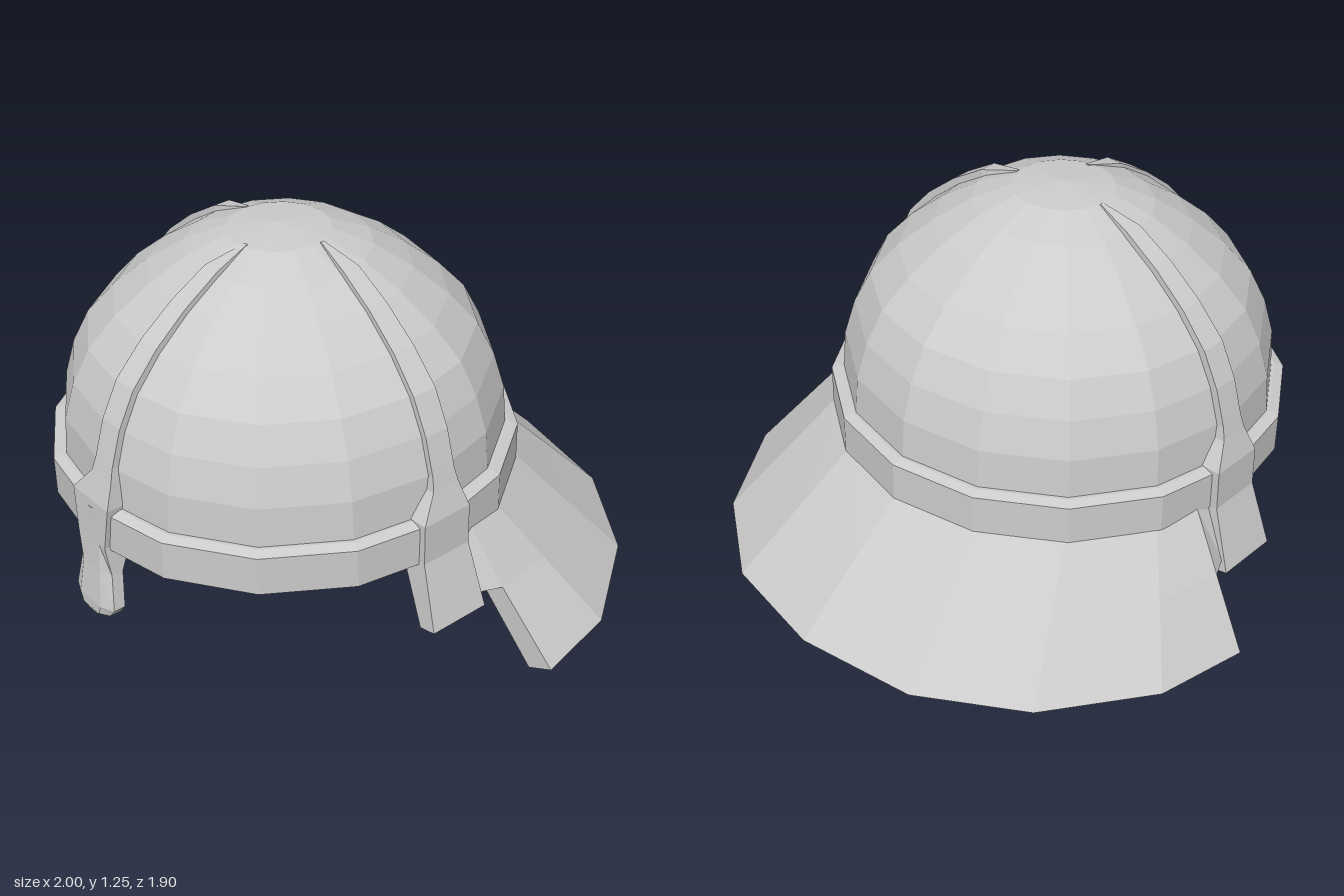
import * as THREE from 'three';

const CX = -0.03, CZ = 0.17, BASE = 0.55; // dome axis and springing height
const SIDES = 16;

// Dome profile, rim to crown: [radius, height]
const DOME = [[0.71, 0.55], [0.7, 0.69], [0.665, 0.81], [0.61, 0.92], [0.52, 1.02],
  [0.41, 1.11], [0.29, 1.185], [0.165, 1.235], [0, 1.25]];

const material = new THREE.MeshStandardMaterial({ color: 0xcccccc, flatShading: true });

function part(name, geometry) {
  const mesh = new THREE.Mesh(geometry, material);
  mesh.name = name;
  return mesh;
}

// Closed plate between an outer and an inner grid of points.
// Rows run downwards, columns run left to right as seen from outside.
function plate(outer, inner) {
  const pos = [];
  const quad = (a, b, c, d) => [a, b, c, a, c, d].forEach(p => pos.push(p.x, p.y, p.z));
  const R = outer.length - 1, C = outer[0].length - 1;
  for (let j = 0; j < R; j++) {
    for (let i = 0; i < C; i++) {
      quad(outer[j][i], outer[j + 1][i], outer[j + 1][i + 1], outer[j][i + 1]);
      quad(inner[j][i], inner[j][i + 1], inner[j + 1][i + 1], inner[j + 1][i]);
    }
    quad(outer[j][0], inner[j][0], inner[j + 1][0], outer[j + 1][0]);
    quad(outer[j][C], outer[j + 1][C], inner[j + 1][C], inner[j][C]);
  }
  for (let i = 0; i < C; i++) {
    quad(outer[0][i], outer[0][i + 1], inner[0][i + 1], inner[0][i]);
    quad(outer[R][i], inner[R][i], inner[R][i + 1], outer[R][i + 1]);
  }
  const g = new THREE.BufferGeometry();
  g.setAttribute('position', new THREE.Float32BufferAttribute(pos, 3));
  g.computeVertexNormals();
  return g;
}

// Ring or shell turned around the dome axis
const turned = pts => new THREE.LatheGeometry(pts.map(p => new THREE.Vector2(p[0], p[1])), SIDES);

// Strap facing +z: a rib through the dome, the band crossing, and a hanging tab.
// tab rows: [radius, height, half width]; shift slides the rib sideways,
// bevel sets back the long edges of the tab, drop lowers its inner end.
function strap(tab, shift, bevel, drop) {
  const rib = DOME.slice(1, 8).reverse().map(([r, y], k) => {
    const lift = k === 0 ? 1.003 : 1.023;
    return [r * lift, BASE + (y - BASE) * lift, [0.006, 0.03, 0.035, 0.039][k] ?? 0.043, shift, 0, r * 0.12];
  });
  const rows = [...rib, [0.728, 0.65, 0.05, shift, 0, 0.07], [0.755, 0.565, 0.09, 0, 0, 0.095],
    ...tab.map(([r, y, w], k) => [r, y, w, 0, k ? bevel : 0, k ? 0.06 : 0.098])];
  const columns = [-1, -0.55, 0.55, 1];
  const outer = [], inner = [];
  rows.forEach(([r, y, w, s, b, thick], j) => {
    outer.push(columns.map(c => new THREE.Vector3(c * w + s, y, Math.abs(c) === 1 ? r - b : r)));
    const yi = y > BASE ? BASE + (y - BASE) * 0.91 : y - (j === rows.length - 1 ? drop : 0);
    inner.push(columns.map(c => new THREE.Vector3(c * w + s, yi, r - thick)));
  });
  return plate(outer, inner);
}

// Flared neck guard: an upper strip tucked behind the cheek tabs and a shorter lower strip
function neckGuard() {
  const row = half => [...half, ...half.slice(0, 4).reverse().map(([x, y, z]) => [-x, y, z])]
    .map(p => new THREE.Vector3(...p));
  const bottom = row([[1, 0.04, -0.03], [0.935, 0.035, -0.33], [0.71, 0.04, -0.66],
    [0.395, 0.052, -0.875], [0, 0.067, -0.95]]);
  const top = bottom.map((_, i) => {
    const a = i * Math.PI / 8;
    return new THREE.Vector3(CX + 0.735 * Math.cos(a), 0.44, CZ - 0.735 * Math.sin(a));
  });
  const mid = top.map((p, i) => p.clone().lerp(bottom[i], 0.45));
  for (const [i, side] of [[0, 1], [8, -1]]) {
    top[i].set(CX + side * 0.72, 0.44, 0.03);
    mid[i].set(CX + side * 0.835, 0.26, 0);
  }
  const withEnds = (r, radius, y, z) => [new THREE.Vector3(CX + radius, y, z), ...r,
    new THREE.Vector3(CX - radius, y, z)];
  const inset = r => r.map(p =>
    new THREE.Vector3(CX + (p.x - CX) * 0.92, p.y - 0.038, CZ + (p.z - CZ) * 0.955));
  const strip = (name, a, b) => part(name, plate([a, b], [inset(a), inset(b)]));
  const group = new THREE.Group();
  group.name = 'neckGuard';
  group.add(strip('neckGuardUpper', withEnds(top, 0.715, 0.44, 0.1), withEnds(mid, 0.8, 0.255, 0.07)));
  group.add(strip('neckGuardLower', mid, bottom));
  return group;
}

export function createModel() {
  const model = new THREE.Group();
  model.name = 'helmet';

  // Dome shell and brow band, leaning slightly forward
  const shell = new THREE.Group();
  shell.name = 'shell';
  shell.position.set(CX, 0, CZ);
  shell.rotation.x = 0.016;
  const lining = DOME.slice().reverse().map(([r, y]) => [r * 0.945, BASE + (y - BASE) * 0.945]);
  shell.add(part('dome', turned([[0.71, 0.445], ...DOME, ...lining, [0.672, 0.445], [0.71, 0.445]])));
  shell.add(part('browBand', turned([[0.69, 0.42], [0.75, 0.42], [0.75, 0.55], [0.72, 0.562],
    [0.69, 0.562], [0.69, 0.42]])));
  model.add(shell);

  // Front strap with nose guard, side straps with cheek tabs
  const nose = [[0.762, 0.42, 0.07], [0.77, 0.32, 0.08], [0.785, 0.2, 0.1], [0.785, 0.167, 0.075], [0.778, 0.15, 0.035]];
  const cheek = [[0.757, 0.43, 0.09], [0.825, 0.218, 0.106]];
  for (const [name, tab, angle, shift, bevel, drop] of [
    ['noseStrap', nose, 0, 0.03, 0.02, 0],
    ['leftCheekStrap', cheek, Math.PI / 2, 0.015, 0, 0.013],
    ['rightCheekStrap', cheek, -Math.PI / 2, 0.01, 0, 0.013]]) {
    const mesh = part(name, strap(tab, shift, bevel, drop));
    mesh.position.set(CX, 0, CZ);
    mesh.rotation.y = angle;
    model.add(mesh);
  }

  model.add(neckGuard());
  return model;
}
